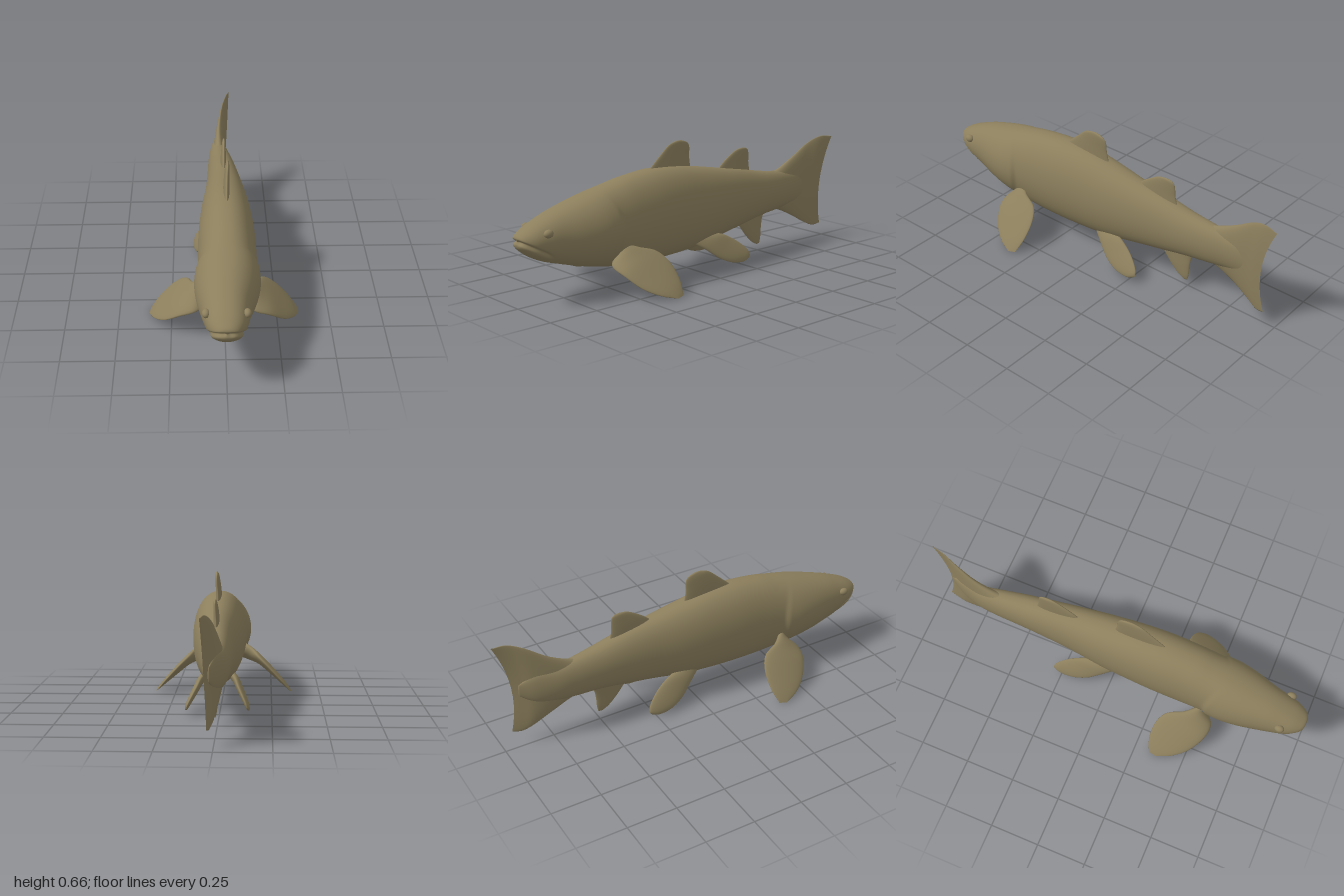
import * as THREE from 'three';

const V = (x, y, z) => new THREE.Vector3(x, y, z);
const spline = (pts) => new THREE.CatmullRomCurve3(pts, false, 'catmullrom', 0.5);
const gauss = (d, w) => Math.exp(-((d / w) ** 2));

// Skin a list of closed rings and turn the faces outward.
function loft(rings) {
  const n = rings[0].length;
  const pos = rings.flat().flatMap((p) => [p.x, p.y, p.z]);
  const idx = [];
  let volume = 0;
  const tri = (a, b, c) => idx.push(a, b, c);
  for (let i = 0; i < rings.length - 1; i++) {
    for (let j = 0; j < n; j++) {
      const a = i * n + j, b = i * n + ((j + 1) % n), c = a + n, d = b + n;
      tri(a, c, b);
      tri(b, c, d);
    }
  }
  const flat = rings.flat();
  const centre = flat.reduce((s, p) => s.add(p), V(0, 0, 0)).divideScalar(flat.length);
  const rel = flat.map((p) => p.clone().sub(centre));
  for (let k = 0; k < idx.length; k += 3) {
    volume += rel[idx[k]].dot(rel[idx[k + 1]].clone().cross(rel[idx[k + 2]]));
  }
  if (volume < 0) idx.reverse();
  const g = new THREE.BufferGeometry();
  g.setAttribute('position', new THREE.Float32BufferAttribute(pos, 3));
  g.setIndex(idx);
  g.computeVertexNormals();
  return g;
}

// Fin between a leading and a trailing edge, lens-shaped in section.
function fin(lead, trail, normal, thick, bow = V(0, 0, 0), power = 0.7) {
  const A = spline(lead), B = spline(trail), rings = [];
  for (let i = 0; i <= 32; i++) {
    const t = i / 32, a = A.getPoint(t), b = B.getPoint(t);
    const half = thick * (1 - t) ** power;
    const ring = [];
    for (let j = 0; j < 32; j++) {
      const ang = (j / 32) * Math.PI * 2, w = (1 - Math.cos(ang)) / 2;
      ring.push(a.clone().lerp(b, w)
        .addScaledVector(bow, 4 * w * (1 - w) * t * t)
        .addScaledVector(normal, half * Math.sin(ang)));
    }
    rings.push(ring);
  }
  return loft(rings);
}

// Body stations: z, top y, bottom y, centre x, half width
const STATIONS = [
  [1.0, 0.322, 0.3, 0, 0.012],
  [0.992, 0.338, 0.28, 0, 0.04],
  [0.97, 0.354, 0.258, 0, 0.062],
  [0.93, 0.376, 0.23, 0, 0.083],
  [0.87, 0.402, 0.202, 0, 0.098],
  [0.8, 0.428, 0.18, 0, 0.112],
  [0.7, 0.458, 0.152, 0.005, 0.131],
  [0.6, 0.485, 0.13, 0.01, 0.14],
  [0.5, 0.508, 0.113, 0.013, 0.136],
  [0.4, 0.528, 0.102, 0.015, 0.136],
  [0.25, 0.543, 0.1, 0.015, 0.136],
  [0.1, 0.538, 0.105, 0.015, 0.129],
  [-0.05, 0.515, 0.118, 0.015, 0.118],
  [-0.2, 0.488, 0.145, 0.015, 0.101],
  [-0.35, 0.462, 0.17, 0.011, 0.086],
  [-0.5, 0.43, 0.195, 0.005, 0.073],
  [-0.62, 0.412, 0.205, -0.003, 0.06],
  [-0.72, 0.4, 0.215, -0.008, 0.045],
  [-0.82, 0.39, 0.23, 0, 0.024],
  [-0.9, 0.34, 0.28, 0.02, 0.004],
];

function bodyGeometry() {
  const heights = spline(STATIONS.map((s) => V(s[1], s[2], s[0])));
  const widths = spline(STATIONS.map((s) => V(s[3], s[4], s[0])));
  const rings = [];
  for (let i = 0; i <= 240; i++) {
    const h = heights.getPoint(i / 240), w = widths.getPoint(i / 240), z = h.z;
    const mid = (h.x + h.y) / 2, ry = (h.x - h.y) / 2;
    const ring = [];
    for (let j = 0; j < 112; j++) {
      const a = (j / 112) * Math.PI * 2, c = Math.cos(a);
      let x = w.y * Math.sign(c) * Math.abs(c) ** 0.9;
      const y = mid + ry * Math.sin(a);
      // Gill cover: a raised plate ending in a curved rear edge
      const edge = 0.525 + 1.8 * (y - 0.31) ** 2;
      const side = gauss(y - 0.3, 0.15);
      if (z > edge - 0.03) {
        const rise = THREE.MathUtils.smoothstep(z, edge - 0.03, edge);
        x *= 1 + 0.085 * side * rise * (1 - THREE.MathUtils.smoothstep(z, edge, 0.85));
      }
      // Mouth: a groove that drops toward the jaw corners
      const lip = 0.312 - 0.55 * (1 - z);
      const reach = THREE.MathUtils.smoothstep(z, 0.84, 0.9);
      const groove = reach * gauss(y - lip, 0.009);
      x *= 1 - 0.13 * groove + 0.05 * reach * gauss(y - lip + 0.025, 0.013);
      ring.push(V(w.x + x, y, z - 0.014 * groove));
    }
    rings.push(ring);
  }
  // Close the snout and the tail end
  const cap = (r) => {
    const m = r.reduce((s, p) => s.add(p), V(0, 0, 0)).divideScalar(r.length);
    return r.map(() => m.clone());
  };
  rings.unshift(cap(rings[0]));
  rings.push(cap(rings[rings.length - 1]));
  return loft(rings);
}

export function createModel() {
  const model = new THREE.Group();
  model.name = 'fish';
  const skin = new THREE.MeshStandardMaterial({ color: 0x8c7f5d });
  skin.name = 'olive skin';
  const add = (name, geometry) => {
    const mesh = new THREE.Mesh(geometry, skin);
    mesh.name = name;
    model.add(mesh);
    return mesh;
  };
  const X = V(1, 0, 0);

  add('body', bodyGeometry());

  // Tail fin, curling toward the left
  add('tailFin', fin(
    [V(0, 0.4, -0.54), V(-0.006, 0.415, -0.64), V(-0.004, 0.468, -0.75), V(0.012, 0.535, -0.85),
      V(0.036, 0.568, -0.93), V(0.054, 0.562, -1)],
    [V(0, 0.215, -0.54), V(-0.006, 0.203, -0.64), V(-0.006, 0.155, -0.75), V(0.004, 0.104, -0.84),
      V(0.018, 0.078, -0.9), V(0.028, 0.085, -0.948)],
    X, 0.048, V(0, 0, 0.047), 1.1));

  // Back fins
  add('frontDorsalFin', fin(
    [V(0.015, 0.52, 0.27), V(0.016, 0.56, 0.225), V(0.018, 0.605, 0.175), V(0.021, 0.643, 0.13),
      V(0.023, 0.657, 0.09), V(0.023, 0.66, 0.06)],
    [V(0.015, 0.48, -0.02), V(0.016, 0.53, -0.01), V(0.018, 0.575, -0.002), V(0.021, 0.615, -0.001),
      V(0.023, 0.64, 0.01), V(0.023, 0.654, 0.035)],
    X, 0.016, undefined, 0.5));
  add('rearDorsalFin', fin(
    [V(0.012, 0.46, -0.18), V(0.012, 0.505, -0.23), V(0.013, 0.54, -0.28), V(0.014, 0.563, -0.325),
      V(0.015, 0.57, -0.365)],
    [V(0.009, 0.42, -0.43), V(0.01, 0.48, -0.416), V(0.012, 0.52, -0.413), V(0.014, 0.552, -0.408),
      V(0.015, 0.567, -0.39)],
    X, 0.015, undefined, 0.5));

  // Anal fin
  add('analFin', fin(
    [V(0.01, 0.21, -0.32), V(0.01, 0.155, -0.36), V(0.01, 0.105, -0.4), V(0.01, 0.062, -0.445),
      V(0.01, 0.04, -0.485)],
    [V(0.006, 0.23, -0.56), V(0.008, 0.185, -0.525), V(0.01, 0.13, -0.513), V(0.01, 0.08, -0.51),
      V(0.01, 0.045, -0.503)],
    X, 0.016, undefined, 0.5));

  // Paired fins and eyes
  for (const [label, s] of [['left', 1], ['right', -1]]) {
    const at = (shift) => ([x, y, z]) => V(s * x + shift, y, z);
    add(label + 'PectoralFin', fin(
      [[0.09, 0.17, 0.53], [0.14, 0.145, 0.57], [0.21, 0.115, 0.56], [0.28, 0.06, 0.51],
        [0.33, 0.024, 0.44], [0.358, 0.004, 0.365]].map(at(0)),
      [[0.1, 0.235, 0.48], [0.145, 0.215, 0.425], [0.18, 0.19, 0.345], [0.235, 0.14, 0.308],
        [0.3, 0.07, 0.305], [0.35, 0.01, 0.325]].map(at(0)),
      V(s * 0.66, 0.75, 0), 0.03, undefined, 0.65));
    add(label + 'PelvicFin', fin(
      [[0.06, 0.15, 0.03], [0.095, 0.115, -0.03], [0.128, 0.062, -0.1], [0.147, 0.032, -0.17],
        [0.152, 0.024, -0.24], [0.146, 0.036, -0.285]].map(at(0.01)),
      [[0.06, 0.18, -0.1], [0.08, 0.167, -0.16], [0.098, 0.135, -0.22], [0.118, 0.1, -0.265],
        [0.134, 0.07, -0.29], [0.144, 0.046, -0.294]].map(at(0.01)),
      V(s * 0.86, 0.5, 0), 0.02, undefined, 0.5));
    const eye = add(label + 'Eye', new THREE.SphereGeometry(0.02, 24, 16));
    eye.position.set(s * 0.089, 0.347, 0.885);
    eye.scale.set(0.9, 0.95, 1.2);
  }
  return model;
}
